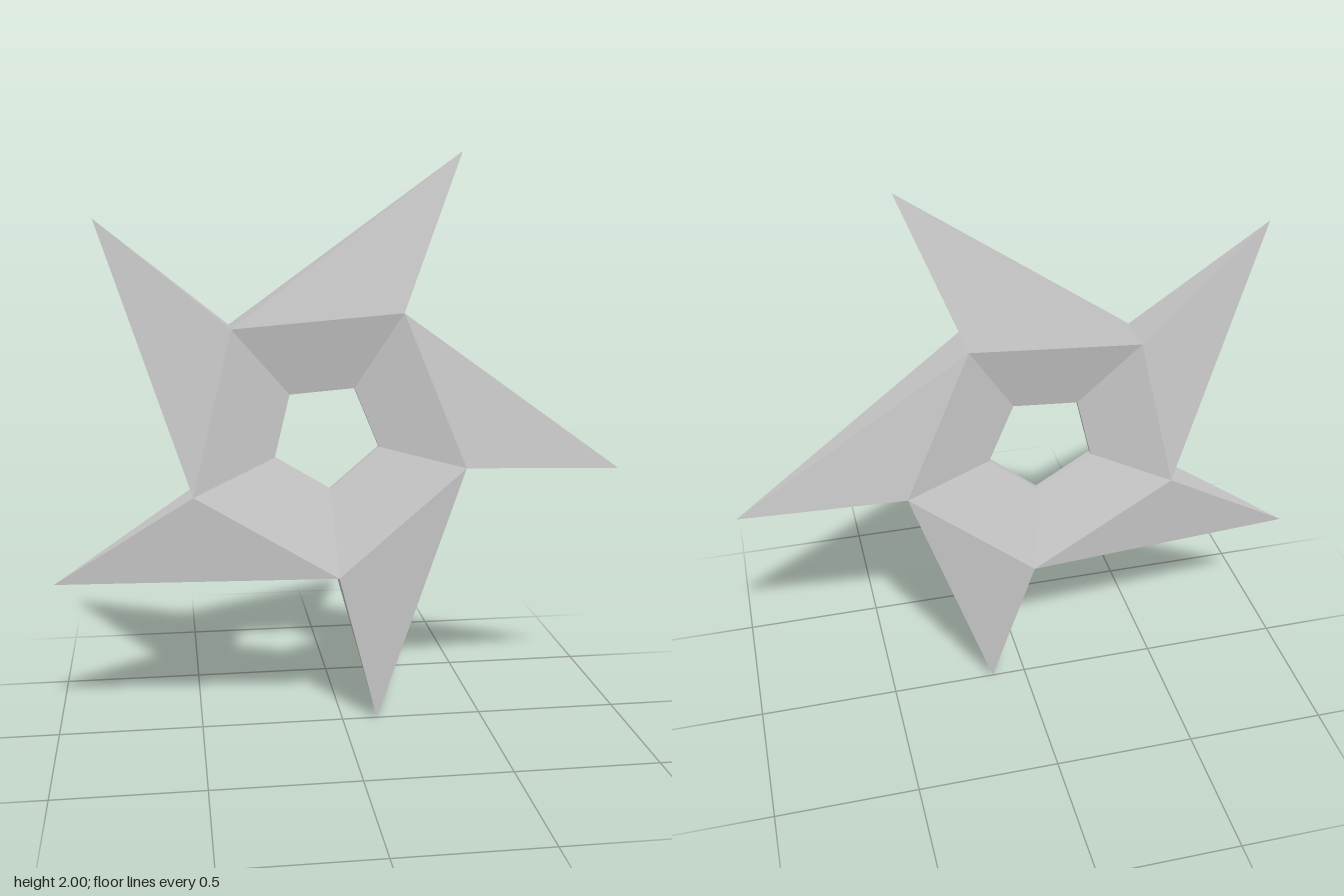
import * as THREE from 'three';

const POINTS = 5;
const STEP = (Math.PI * 2) / POINTS;
const HALF = 0.075; // half thickness along the raised pentagon
const RIM = 0.01; // half thickness at the hole

const polar = (r, a, z) => [r * Math.cos(a), r * Math.sin(a), z];

// Flat mesh from a list of corner loops (triangles or convex quads)
function facetMesh(name, faces, material) {
  const pos = [];
  for (const f of faces) {
    for (let i = 1; i < f.length - 1; i++) pos.push(...f[0], ...f[i], ...f[i + 1]);
  }
  const geo = new THREE.BufferGeometry();
  geo.setAttribute('position', new THREE.Float32BufferAttribute(pos, 3));
  geo.computeVertexNormals();
  const mesh = new THREE.Mesh(geo, material);
  mesh.name = name;
  return mesh;
}

export function createModel() {
  const material = new THREE.MeshStandardMaterial({ color: 0xcccccc, flatShading: true });
  const star = new THREE.Group();
  star.name = 'throwingStar';

  // Corners of one sector; the other sectors are turned copies
  const outer = (k, s) => polar(0.495, k * STEP, s * HALF);
  const inner = (k, s) => polar(0.19, k * STEP, s * RIM);
  const tip = polar(1.06, THREE.MathUtils.degToRad(5.5), 0);

  // Blade: four-sided swept spike on one edge of the pentagon
  const bladeFaces = [
    [outer(0, 1), tip, outer(1, 1)],
    [outer(1, -1), tip, outer(0, -1)],
    [outer(0, 1), outer(0, -1), tip],
    [outer(1, -1), outer(1, 1), tip],
  ];
  // Ring sector: dished front and back, narrow wall around the hole
  const ringFaces = [
    [outer(0, 1), outer(1, 1), inner(1, 1), inner(0, 1)],
    [inner(0, -1), inner(1, -1), outer(1, -1), outer(0, -1)],
    [inner(0, 1), inner(1, 1), inner(1, -1), inner(0, -1)],
  ];

  for (let k = 0; k < POINTS; k++) {
    const sector = new THREE.Group();
    sector.name = `sector${k + 1}`;
    sector.add(facetMesh('blade', bladeFaces, material), facetMesh('ringSection', ringFaces, material));
    sector.rotation.z = THREE.MathUtils.degToRad(58.5) + k * STEP;
    star.add(sector);
  }

  star.position.set(-0.06, 1.045, 0);
  const model = new THREE.Group();
  model.name = 'model';
  model.add(star);
  return model;
}
